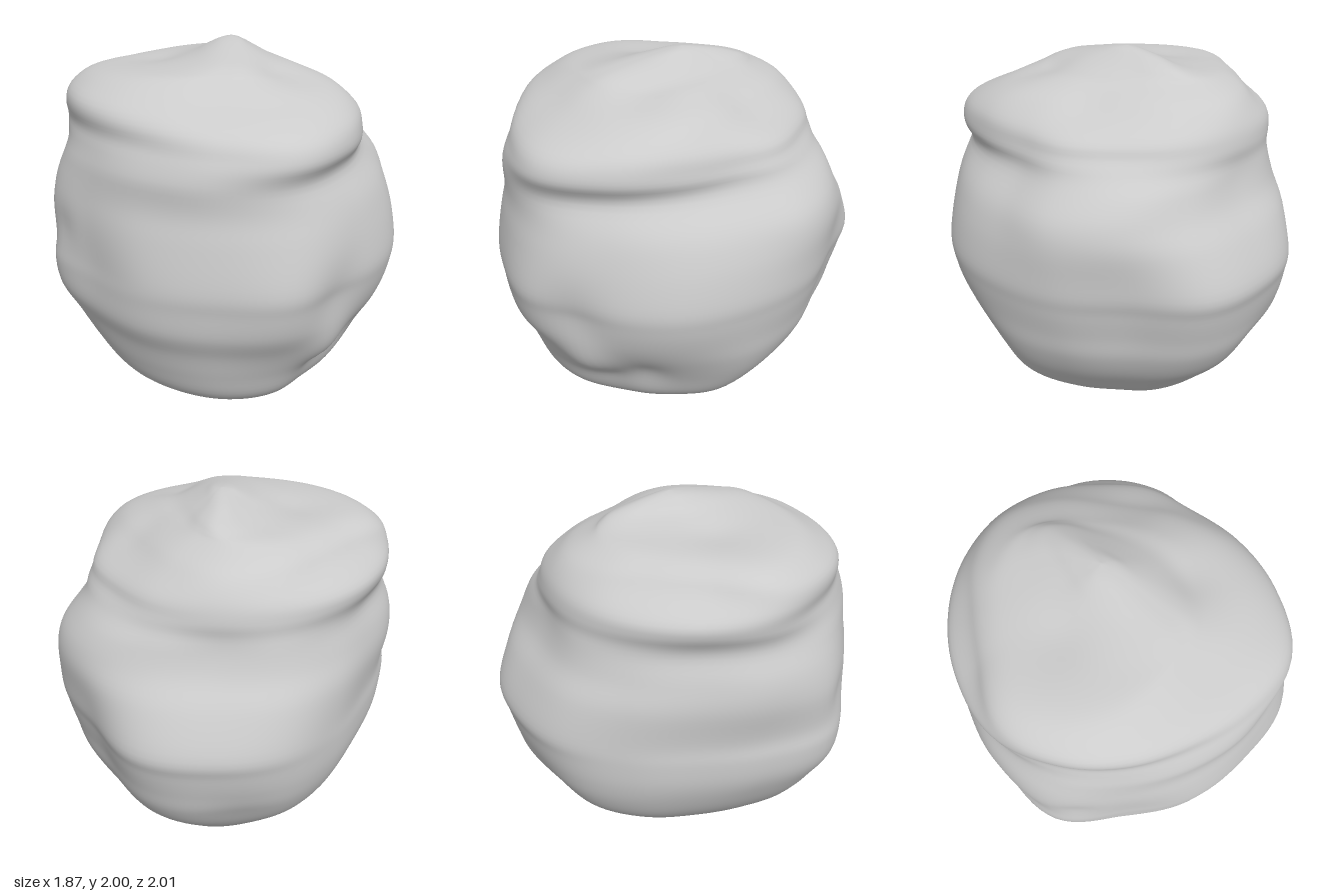
import * as THREE from 'three';
import { mergeVertices } from 'three/addons/utils/BufferGeometryUtils.js';

// Extents of the rock at rising heights: y, xMin, xMax, zMin, zMax
const LEVELS = [
  [0, 0.12, 0.12, -0.04, -0.04], [0.003, 0.04, 0.21, -0.14, 0.05], [0.012, -0.05, 0.28, -0.24, 0.14],
  [0.04, -0.2, 0.36, -0.33, 0.28], [0.1, -0.36, 0.47, -0.45, 0.5], [0.2, -0.5, 0.62, -0.59, 0.68],
  [0.3, -0.64, 0.72, -0.7, 0.79], [0.45, -0.76, 0.81, -0.85, 0.85], [0.6, -0.85, 0.87, -0.93, 0.9],
  [0.74, -0.915, 0.9, -0.96, 0.965], [0.88, -0.93, 0.925, -0.985, 0.99], [1.0, -0.915, 0.935, -1, 1],
  [1.2, -0.925, 0.9, -0.91, 0.96], [1.35, -0.9, 0.85, -0.81, 0.925], [1.5, -0.84, 0.73, -0.76, 0.92],
  [1.6, -0.85, 0.71, -0.76, 0.905], [1.7, -0.85, 0.68, -0.73, 0.84], [1.8, -0.8, 0.57, -0.65, 0.64],
  [1.87, -0.66, 0.4, -0.52, 0.51], [1.9, -0.36, 0.28, -0.45, 0.45], [1.93, -0.19, 0.2, -0.38, 0.36],
  [1.965, -0.1, 0.12, -0.26, 0.18], [1.99, -0.04, 0.07, -0.13, 0.04], [2, 0.02, 0.02, -0.05, -0.05],
];

// Outlines at five heights: radii at even turns, from +z towards +x
const OUTLINES = [
  { y: 0.35, radii: [0.8, 0.78, 0.73, 0.72, 0.75, 0.71, 0.69, 0.74, 0.76, 0.74, 0.7, 0.67, 0.7, 0.78, 0.8, 0.8] },
  { y: 0.92, radii: [0.97, 1.02, 0.97, 0.96, 0.93, 0.92, 0.89, 0.98, 0.96, 0.94, 0.87, 0.84, 0.9, 1.0, 0.93, 0.96] },
  { y: 1.45, radii: [0.92, 0.92, 0.84, 0.78, 0.76, 0.83, 0.85, 0.81, 0.77, 0.8, 0.79, 0.79, 0.86, 0.9, 0.88, 0.89] },
  { y: 1.63, radii: [0.88, 0.93, 0.84, 0.74, 0.68, 0.7, 0.7, 0.74, 0.77, 0.79, 0.8, 0.82, 0.85, 0.83, 0.82, 0.83] },
  { y: 1.8, radii: [0.62, 0.64, 0.66, 0.64, 0.57, 0.53, 0.53, 0.6, 0.67, 0.67, 0.64, 0.67, 0.78, 0.77, 0.72, 0.66] },
];

// Bulges and dents: x, y, z, height, spread
const LUMPS = [
  [-0.8, 1.1, 0.45, -0.02, 0.08], [0.5, 0.92, 0.72, -0.04, 0.12], [0.52, 0.6, 0.7, 0.04, 0.1],
  [0.5, 0.33, 0.6, -0.03, 0.1], [0.65, 0.47, 0.45, -0.03, 0.1], [0.45, 1.83, -0.2, -0.02, 0.12],
  [0.28, 1.85, 0.28, -0.03, 0.12], [-0.34, 1.85, 0, -0.02, 0.11], [-0.1, 0.58, -0.78, -0.04, 0.15],
];

const MIDDLE = new THREE.Vector3(0, 1, 0);

const cubic = (a, b, c, d, t) =>
  b + 0.5 * t * (c - a + t * (2 * a - 5 * b + 4 * c - d + t * (3 * (b - c) + d - a)));

// Smooth level at a fractional row
function levelAt(u) {
  const last = LEVELS.length - 1;
  const k = Math.min(Math.floor(u), last - 1);
  const row = i => LEVELS[THREE.MathUtils.clamp(i, 0, last)];
  return LEVELS[0].map((_, c) => cubic(row(k - 1)[c], row(k)[c], row(k + 1)[c], row(k + 2)[c], u - k));
}

// Smooth closed outline radius at turn fraction f
function radiusAt(radii, f) {
  const n = radii.length, u = f * n, k = Math.floor(u);
  const r = i => radii[(i + n) % n];
  return cubic(r(k - 1), r(k), r(k + 1), r(k + 2), u - k);
}

// Radius at height y, passing from each outline to the next
function blendedRadius(y, f) {
  let r = radiusAt(OUTLINES[0].radii, f);
  for (let i = 1; i < OUTLINES.length; i++) {
    const t = THREE.MathUtils.smoothstep(y, OUTLINES[i - 1].y, OUTLINES[i].y);
    r = THREE.MathUtils.lerp(r, radiusAt(OUTLINES[i].radii, f), t);
  }
  return r;
}

// One ring: the blended outline, fitted to the extents at its height
function ring([y, x0, x1, z0, z1], count) {
  const pts = [];
  for (let j = 0; j < count; j++) {
    const f = j / count, a = f * Math.PI * 2, r = blendedRadius(y, f);
    pts.push(new THREE.Vector2(r * Math.sin(a), r * Math.cos(a)));
  }
  const box = new THREE.Box2().setFromPoints(pts);
  return pts.map(p => new THREE.Vector3(
    THREE.MathUtils.mapLinear(p.x, box.min.x, box.max.x, x0, x1), y,
    THREE.MathUtils.mapLinear(p.y, box.min.y, box.max.y, z0, z1)));
}

// Push a point out or in from the rock's middle
function addLumps(p) {
  const dir = p.clone().sub(MIDDLE).normalize();
  let push = 0;
  for (const [x, y, z, height, spread] of LUMPS) {
    const d = new THREE.Vector3(x, y, z).sub(MIDDLE).normalize().distanceTo(dir);
    push += height * Math.exp(-(d * d) / (2 * spread * spread));
  }
  return p.addScaledVector(dir, push);
}

export function createModel() {
  const around = 128, steps = 5, rows = (LEVELS.length - 1) * steps;
  const positions = [], index = [];
  for (let i = 0; i <= rows; i++) {
    for (const p of ring(levelAt(i / steps), around)) positions.push(...addLumps(p).toArray());
  }
  // Skin between rings; the first and last rings close to a point
  for (let i = 0; i < rows; i++) {
    for (let j = 0; j < around; j++) {
      const a = i * around + j, b = i * around + (j + 1) % around;
      const c = a + around, d = b + around;
      if (i > 0) index.push(a, b, d);
      if (i < rows - 1) index.push(a, d, c);
    }
  }
  let geometry = new THREE.BufferGeometry();
  geometry.setAttribute('position', new THREE.Float32BufferAttribute(positions, 3));
  geometry.setIndex(index);
  geometry = mergeVertices(geometry, 1e-5);
  geometry.computeVertexNormals();

  const rock = new THREE.Mesh(geometry, new THREE.MeshStandardMaterial({ color: 0xcccccc }));
  rock.name = 'rock';
  const group = new THREE.Group();
  group.name = 'boulder';
  group.add(rock);
  return group;
}
